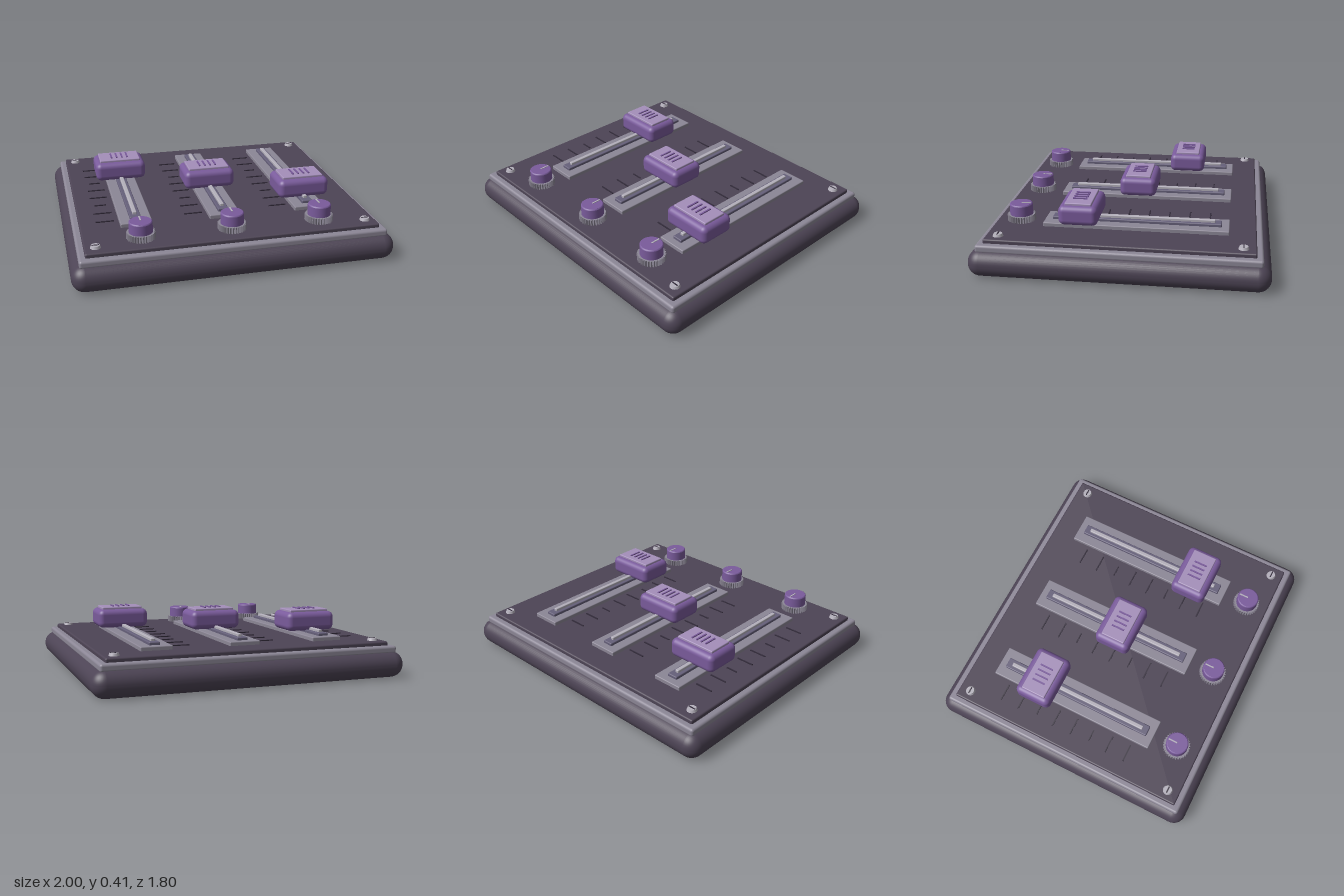
import * as THREE from 'three';
import { RoundedBoxGeometry } from 'three/addons/geometries/RoundedBoxGeometry.js';

const mat = (name, color) => {
  const m = new THREE.MeshStandardMaterial({ color });
  m.name = name;
  return m;
};

export function createModel() {
  const charcoal = mat('charcoal', 0x4d4455);
  const trimGrey = mat('trimGrey', 0x8c8796);
  const slotGrey = mat('slotGrey', 0x66607a);
  const railSilver = mat('railSilver', 0xb4b0bb);
  const purple = mat('purple', 0x7a5b9c);
  const lilac = mat('lilac', 0xa48fba);
  const dark = mat('darkMark', 0x332c3b);

  const model = new THREE.Group();
  model.name = 'sliderPanel';

  const add = (parent, name, geometry, material, x = 0, y = 0, z = 0) => {
    const mesh = new THREE.Mesh(geometry, material);
    mesh.name = name;
    mesh.position.set(x, y, z);
    parent.add(mesh);
    return mesh;
  };
  // Box given by its bottom and top heights; r rounds its edges
  const slab = (parent, name, material, w, d, y0, y1, r = 0, x = 0, z = 0) => {
    const h = y1 - y0;
    const geo = r ? new RoundedBoxGeometry(w, h, d, 5, r) : new THREE.BoxGeometry(w, h, d);
    return add(parent, name, geo, material, x, (y0 + y1) / 2, z);
  };
  const disc = (parent, name, material, rTop, rBottom, y0, y1) =>
    add(parent, name, new THREE.CylinderGeometry(rTop, rBottom, y1 - y0, 40), material, 0, (y0 + y1) / 2, 0);
  const groupAt = (name, x, z) => {
    const g = new THREE.Group();
    g.name = name;
    g.position.set(x, 0, z);
    model.add(g);
    return g;
  };

  // Housing: soft base, trim step and face panel
  slab(model, 'base', charcoal, 2, 1.8, 0, 0.165, 0.08);
  slab(model, 'trim', trimGrey, 1.9, 1.7, 0.15, 0.2, 0.016);
  slab(model, 'facePanel', charcoal, 1.82, 1.62, 0.19, 0.225, 0.01);

  // Knurled ring outline for the knob collars
  const ring = new THREE.Shape();
  const teeth = 32;
  for (let i = 0; i < teeth * 2; i++) {
    const a = (i / (teeth * 2)) * Math.PI * 2;
    const r = i % 2 ? 0.08 : 0.089;
    if (i) ring.lineTo(r * Math.cos(a), r * Math.sin(a));
    else ring.moveTo(r, 0);
  }
  const collarGeo = new THREE.ExtrudeGeometry(ring, { depth: 0.042, bevelEnabled: false });
  collarGeo.rotateX(-Math.PI / 2);

  // Knob profile with a softened top edge
  const knobProfile = [[0.072, 0.26], [0.072, 0.328], [0.07, 0.333], [0.065, 0.336], [0, 0.336]]
    .map(([r, y]) => new THREE.Vector2(r, y));
  const knobGeo = new THREE.LatheGeometry(knobProfile.slice(0, 2), 40);
  const knobTopGeo = new THREE.LatheGeometry(knobProfile.slice(1, 4), 40);

  // Three channels, each with a track, scale marks, fader and knob
  [[-0.563, -0.315], [0, -0.025], [0.563, 0.27]].forEach(([x, faderZ]) => {
    const track = groupAt('track', x, -0.072);
    slab(track, 'trackPlate', trimGrey, 0.2, 1.145, 0.215, 0.25, 0.006);
    slab(track, 'slot', slotGrey, 0.07, 1.05, 0.24, 0.268, 0.006);
    slab(track, 'rail', railSilver, 0.026, 0.97, 0.26, 0.285, 0.005);

    for (let i = 0; i < 8; i++) {
      const length = i % 3 === 2 ? 0.075 : 0.115;
      slab(model, 'scaleMark', dark, length, 0.008, 0.223, 0.231, 0, x - 0.185, -0.52 + i * 0.13);
    }

    const fader = groupAt('fader', x, faderZ);
    slab(fader, 'faderCap', purple, 0.34, 0.243, 0.262, 0.385, 0.036);
    slab(fader, 'faderPad', lilac, 0.275, 0.165, 0.375, 0.4, 0.006);
    for (const dx of [-0.054, -0.018, 0.018, 0.054]) {
      slab(fader, 'gripRidge', purple, 0.01, 0.09, 0.395, 0.407, 0, dx);
    }

    const knob = groupAt('knob', x, 0.66);
    add(knob, 'knobCollar', collarGeo, trimGrey, 0, 0.223, 0);
    add(knob, 'knobBody', knobGeo, purple);
    add(knob, 'knobEdge', knobTopGeo, purple);
    disc(knob, 'knobTop', purple, 0.0652, 0.0652, 0.33, 0.336);
    slab(knob, 'knobPointer', railSilver, 0.009, 0.06, 0.334, 0.339, 0, 0, -0.032);
  });

  // Corner screws
  for (const sx of [-1, 1]) {
    for (const sz of [-1, 1]) {
      const screw = groupAt('screw', sx * 0.842, sz * 0.732);
      disc(screw, 'screwHead', railSilver, 0.026, 0.033, 0.222, 0.241);
      slab(screw, 'screwSlot', dark, 0.044, 0.008, 0.238, 0.243);
    }
  }

  return model;
}
